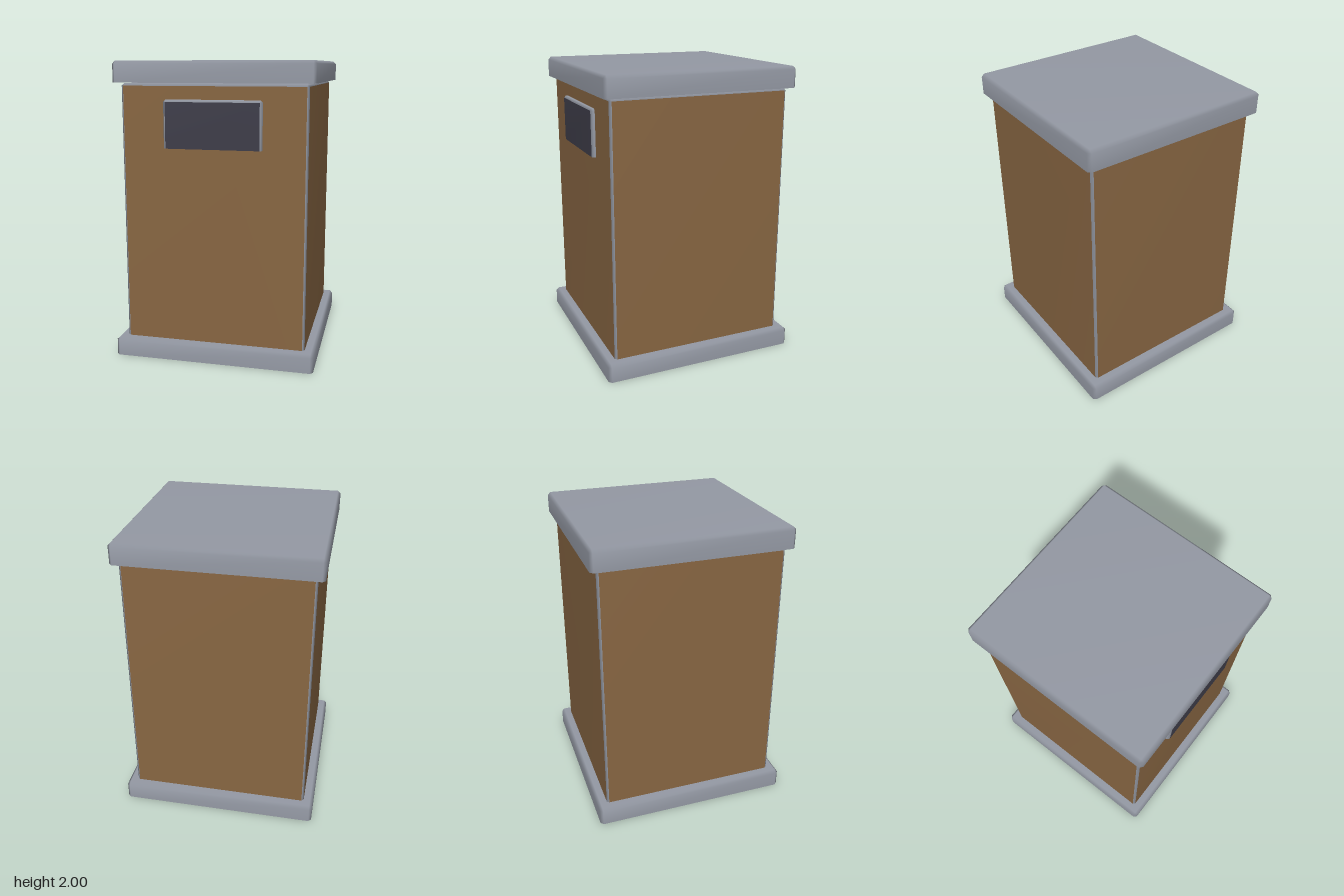
import * as THREE from 'three';

function paint(name, color) {
  const m = new THREE.MeshStandardMaterial({ color, side: THREE.DoubleSide });
  m.name = name;
  return m;
}

// Box with chamfered top and upright edges and an open underside.
// panelSides lists the walls (0 right-hand +x, 1 back, 2 -x, 3 front) using the second material.
function bevelledShell(hx, hz, y0, y1, b, panelSides = []) {
  const pos = [], trim = [], panel = [];
  const quad = (list, a, c, d, e) => list.push(a, c, d, a, d, e);

  // Five points per corner: two low, two at the chamfer, one on the top
  [[1, 1], [1, -1], [-1, -1], [-1, 1]].forEach(([sx, sz], k) => {
    const ends = [[sx * (hx - b), sz * hz], [sx * hx, sz * (hz - b)]];
    if (k % 2) ends.reverse();
    for (const y of [y0, y1 - b]) for (const [x, z] of ends) pos.push(x, y, z);
    pos.push(sx * (hx - b), y1, sz * (hz - b));
  });

  for (let k = 0; k < 4; k++) {
    const c = 5 * k, n = 5 * ((k + 1) % 4);
    quad(trim, c, c + 1, c + 3, c + 2);                 // upright chamfer
    trim.push(c + 2, c + 3, c + 4);                     // corner facet
    quad(trim, c + 3, n + 2, n + 4, c + 4);             // top chamfer
    quad(panelSides.includes(k) ? panel : trim, c + 1, n, n + 2, c + 3); // wall
  }
  quad(trim, 4, 9, 14, 19);                             // top

  const g = new THREE.BufferGeometry();
  g.setAttribute('position', new THREE.Float32BufferAttribute(pos, 3));
  g.setIndex([...trim, ...panel]);
  g.addGroup(0, trim.length, 0);
  if (panel.length) g.addGroup(trim.length, panel.length, 1);
  g.computeVertexNormals();
  return g;
}

export function createModel() {
  const grey = paint('grey metal', 0x959aa5);
  const brown = paint('brown panel', 0x896743);
  const dark = paint('dark panel', 0x3f3e4a);

  const model = new THREE.Group();
  model.name = 'bin';
  const add = (name, geometry, face = grey) => {
    const mesh = new THREE.Mesh(geometry, [grey, face]);
    mesh.name = name;
    model.add(mesh);
    return mesh;
  };

  add('base', bevelledShell(0.68, 0.68, 0, 0.125, 0.02));
  add('body', bevelledShell(0.615, 0.615, 0.125, 1.855, 0.015, [0, 1, 2, 3]), brown);
  add('lid', bevelledShell(0.66, 0.66, 1.86, 2, 0.02));

  // Slot cover standing out of the front wall
  add('frontSlot', bevelledShell(0.325, 0.04, 1.44, 1.755, 0.015, [3]), dark).position.z = 0.6;

  return model;
}
